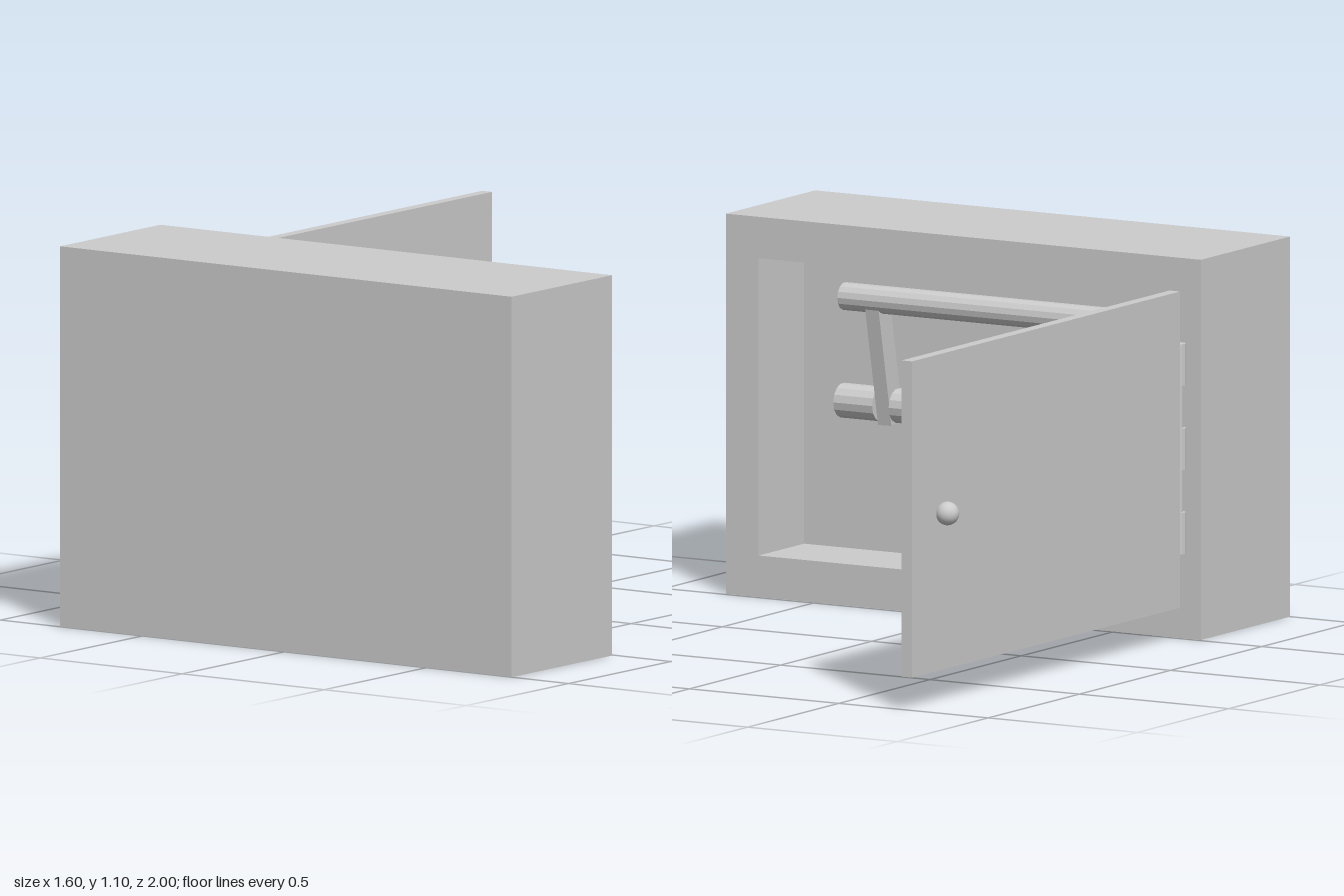
import * as THREE from 'three';

const material = new THREE.MeshStandardMaterial({ color: 0xcccccc });
const facetMaterial = new THREE.MeshStandardMaterial({ color: 0xcccccc, flatShading: true });

export function createModel() {
  const model = new THREE.Group();
  model.name = 'wallCabinet';

  const add = (name, geometry, x, y, z, mat = material) => {
    const mesh = new THREE.Mesh(geometry, mat);
    mesh.name = name;
    mesh.position.set(x, y, z);
    model.add(mesh);
    return mesh;
  };
  const box = (name, x0, x1, y0, y1, z0, z1) =>
    add(name, new THREE.BoxGeometry(x1 - x0, y1 - y0, z1 - z0),
      (x0 + x1) / 2, (y0 + y1) / 2, (z0 + z1) / 2);
  // Horizontal bar along x
  const bar = (name, x0, x1, y, z, r) =>
    add(name, new THREE.CylinderGeometry(r, r, x1 - x0, 14).rotateZ(Math.PI / 2),
      (x0 + x1) / 2, y, z, facetMaterial);

  // Casing: solid front slab plus a rim around the recess that opens to the back
  const rect = (target, x0, x1, y0, y1) => {
    target.moveTo(x0, y0);
    target.lineTo(x1, y0);
    target.lineTo(x1, y1);
    target.lineTo(x0, y1);
    target.closePath();
    return target;
  };
  const rim = rect(new THREE.Shape(), -0.79, 0.8, 0, 1.1);
  rim.holes.push(rect(new THREE.Path(), -0.68, 0.69, 0.12, 0.98));
  add('casingRim', new THREE.ExtrudeGeometry(rim, { depth: 0.25, bevelEnabled: false }), 0, 0, 0.51);
  box('casingFront', -0.79, 0.8, 0, 1.1, 0.76, 1);

  // Open door and its knob
  box('door', -0.745, -0.71, 0.095, 1.01, -1, 0.47);
  add('doorKnob', new THREE.SphereGeometry(0.034, 24, 16), -0.766, 0.55, -0.84);

  // Hinge: thin pin through three knuckles
  add('hingePin', new THREE.CylinderGeometry(0.013, 0.013, 0.6, 12), -0.728, 0.552, 0.49);
  for (const y of [0.308, 0.552, 0.796])
    add('hingeKnuckle', new THREE.CylinderGeometry(0.021, 0.021, 0.12, 12), -0.728, y, 0.49, facetMaterial);

  // Push bar and the split pivot roller behind it
  const top = new THREE.Vector3(0, 0.865, 0.67);
  const low = new THREE.Vector3(0, 0.5, 0.745);
  bar('pushBar', -0.5, 0.5, top.y, top.z, 0.04);
  bar('pivotRoller', -0.365, 0.365, 0.55, 0.74, 0.05);

  // Mirrored roller ends and the links joining both bars
  const slope = low.clone().sub(top);
  for (const side of [-1, 1]) {
    bar('rollerEnd', side * 0.485 - 0.065, side * 0.485 + 0.065, 0.55, 0.74, 0.05);
    const link = add('link', new THREE.BoxGeometry(0.045, slope.length(), 0.065),
      side * 0.392, (top.y + low.y) / 2, (top.z + low.z) / 2);
    link.rotation.x = Math.atan2(slope.z, slope.y) - Math.PI;
  }
  return model;
}
